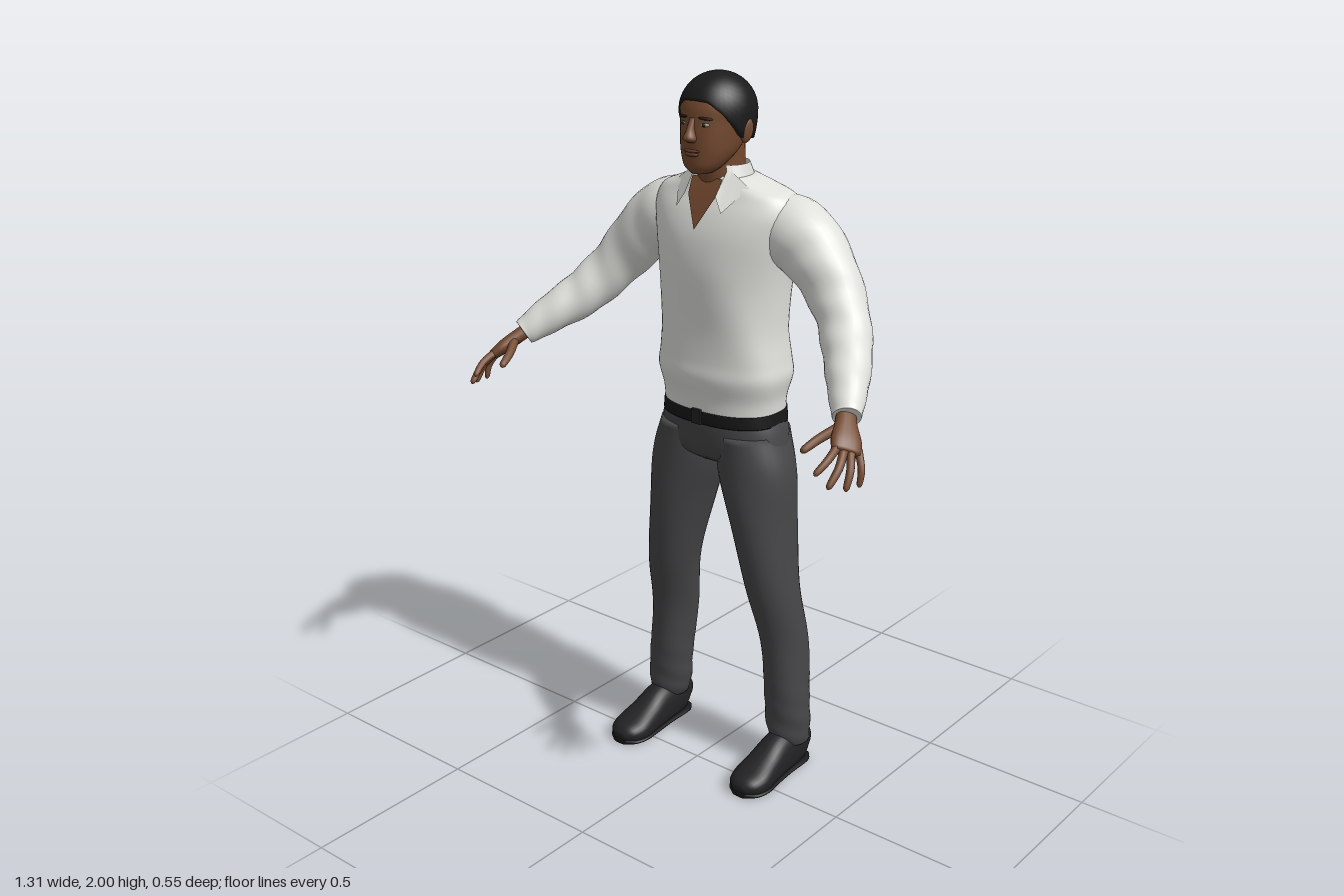
import * as THREE from 'three';

const mat = (name, color, side = THREE.FrontSide) => {
  const m = new THREE.MeshStandardMaterial({ color, side });
  m.name = name;
  return m;
};
const V = (x, y, z) => new THREE.Vector3(x, y, z);

// Smooth skin through rings [x, y, z, halfWidth, halfDepth].
// flat: rings stay horizontal; otherwise they stand square to the path.
function loft(rings, { wide = V(1, 0, 0), flat = false, power = 2, segs = 28, steps = 5, ripple = null, floor = -1 } = {}) {
  const centre = new THREE.CatmullRomCurve3(rings.map(r => V(r[0], r[1], r[2])), false, 'catmullrom');
  const radii = new THREE.CatmullRomCurve3(rings.map(r => V(r[3], r[4], 0)), false, 'catmullrom');
  const rows = (rings.length - 1) * steps;
  const pos = [], idx = [];
  const bend = c => Math.sign(c) * Math.pow(Math.abs(c), 2 / power);
  for (let i = 0; i <= rows; i++) {
    const p = centre.getPoint(i / rows), r = radii.getPoint(i / rows);
    const t = flat ? V(0, 1, 0) : centre.getTangent(i / rows);
    const u = wide.clone().addScaledVector(t, -wide.dot(t)).normalize();
    const v = t.clone().cross(u);
    for (let j = 0; j < segs; j++) {
      const a = j / segs * Math.PI * 2;
      const k = ripple ? 1 + ripple(a, p, i / rows) : 1;
      const q = p.clone().addScaledVector(u, bend(Math.cos(a)) * r.x * k).addScaledVector(v, bend(Math.sin(a)) * r.y * k);
      pos.push(q.x, Math.max(q.y, floor), q.z);
    }
  }
  for (let i = 0; i < rows; i++) for (let j = 0; j < segs; j++) {
    const a = i * segs + j, b = i * segs + (j + 1) % segs;
    idx.push(a, b, a + segs, b, b + segs, a + segs);
  }
  // end caps
  const first = rings[0], last = rings[rings.length - 1], n = pos.length / 3, top = rows * segs;
  pos.push(first[0], Math.max(first[1], floor), first[2], last[0], last[1], last[2]);
  for (let j = 0; j < segs; j++) {
    const k = (j + 1) % segs;
    idx.push(n, k, j, n + 1, top + j, top + k);
  }
  return surface(pos, idx);
}

function surface(pos, idx) {
  const g = new THREE.BufferGeometry();
  g.setAttribute('position', new THREE.Float32BufferAttribute(pos, 3));
  g.setIndex(idx);
  g.computeVertexNormals();
  return g;
}

// Hair cap: a dome whose lower edge follows the hairline
function hairCap() {
  const line = [[0, 1.935], [0.45, 1.932], [0.8, 1.905], [1.15, 1.865], [1.4, 1.835], [1.6, 1.85], [1.95, 1.83], [3.2, 1.818]];
  const hairline = a => {
    const i = Math.max(1, line.findIndex(k => k[0] >= a)), [a0, y0] = line[i - 1], [a1, y1] = line[i];
    return y0 + (y1 - y0) * (a - a0) / (a1 - a0);
  };
  const segs = 48, rows = 14, pos = [], idx = [];
  for (let i = 0; i <= rows; i++) for (let j = 0; j < segs; j++) {
    const a = j / segs * Math.PI * 2, low = hairline(Math.min(a, Math.PI * 2 - a));
    const y = low + (2 - low) * Math.sin(Math.max(0, i - 1) / (rows - 1) * Math.PI / 2);
    const h = (y - 1.9) / 0.1;
    const r = (h > 0 ? Math.sqrt(Math.max(0, 1 - h * h)) : 1 - 0.18 * h * h) * (i === 0 ? 0.82 : 1);
    pos.push(Math.sin(a) * 0.1 * r, y, -0.087 + Math.cos(a) * 0.109 * r);
  }
  for (let i = 0; i < rows; i++) for (let j = 0; j < segs; j++) {
    const a = i * segs + j, b = i * segs + (j + 1) % segs;
    idx.push(a, b, a + segs, b, b + segs, a + segs);
  }
  return surface(pos, idx);
}

export function createModel() {
  const model = new THREE.Group();
  model.name = 'standingMan';
  const skin = mat('skin', 0x74492f), lip = mat('lips', 0x633a2b), shirt = mat('shirt', 0xdfdfdb);
  const collarCloth = mat('collarCloth', 0xdadad6, THREE.DoubleSide);
  const cloth = mat('trouserCloth', 0x464648), leather = mat('shoeLeather', 0x222224);
  const black = mat('beltBlack', 0x171718), hair = mat('hair', 0x1b1a1a), eyeWhite = mat('eyeWhite', 0xa89c92);
  const add = (name, geo, material, parent = model) => {
    const m = new THREE.Mesh(geo, material);
    m.name = name;
    parent.add(m);
    return m;
  };
  const blob = (name, material, p, s, parent) => {
    const m = add(name, new THREE.SphereGeometry(1, 20, 14), material, parent);
    m.position.set(...p);
    m.scale.set(...s);
    return m;
  };

  // Shirt body with soft folds
  add('shirtBody', loft([
    [0, 1.08, -0.125, 0.179, 0.124], [0, 1.13, -0.124, 0.183, 0.126], [0, 1.19, -0.124, 0.198, 0.139],
    [0, 1.24, -0.122, 0.193, 0.134], [0, 1.32, -0.118, 0.184, 0.13], [0, 1.42, -0.124, 0.185, 0.141],
    [0, 1.5, -0.13, 0.194, 0.148], [0, 1.58, -0.133, 0.21, 0.142], [0, 1.64, -0.137, 0.222, 0.126],
    [0, 1.685, -0.135, 0.205, 0.1], [0, 1.71, -0.128, 0.15, 0.086], [0, 1.735, -0.115, 0.085, 0.07]],
  { flat: true, power: 2.4, segs: 56, ripple: (a, p) => p.y < 1.6 ? 0.011 * Math.sin(5 * a + 14 * p.y) * Math.sin((1.6 - p.y) * 6) : 0 }), shirt);

  // Open neck, collar band and collar points
  const vee = new THREE.BufferGeometry().setFromPoints([
    V(0, 1.6, 0.015), V(0.045, 1.685, -0.018), V(0.05, 1.73, -0.042),
    V(-0.05, 1.73, -0.042), V(-0.045, 1.685, -0.018)]);
  vee.setIndex([0, 1, 4, 1, 2, 4, 2, 3, 4]);
  vee.computeVertexNormals();
  add('openNeckSkin', vee, skin);
  const band = add('collarBand', new THREE.CylinderGeometry(0.074, 0.1, 0.065, 32, 1, true, 0.75, Math.PI * 2 - 1.5), collarCloth);
  band.position.set(0, 1.732, -0.107);
  band.scale.z = 0.92;
  for (const s of [1, -1]) {
    const wing = surface([
      0.053 * s, 1.757, -0.062, 0.118 * s, 1.712, -0.068, 0.074 * s, 1.65, -0.004, 0.05 * s, 1.69, -0.012],
    s > 0 ? [0, 2, 1, 0, 3, 2] : [0, 1, 2, 0, 2, 3]);
    add('collarPoint', wing, collarCloth);
  }

  // Hips, belt and buckle
  add('trouserHips', loft([
    [0, 0.93, -0.12, 0.16, 0.06], [0, 0.965, -0.122, 0.2, 0.106], [0, 1.03, -0.125, 0.196, 0.12], [0, 1.085, -0.125, 0.177, 0.12]],
  { flat: true, power: 2.3, segs: 40 }), cloth);
  add('belt', loft([[0, 1.058, -0.125, 0.186, 0.126], [0, 1.075, -0.125, 0.184, 0.127], [0, 1.094, -0.125, 0.182, 0.1265]],
    { flat: true, power: 2.4, segs: 56 }), black);
  add('buckle', new THREE.BoxGeometry(0.03, 0.042, 0.008), leather).position.set(0, 1.079, 0.004);

  for (const s of [1, -1]) {
    const side = s > 0 ? 'left' : 'right';

    // Trouser leg, bunched at the ankle
    add(side + 'TrouserLeg', loft([
      [0.229 * s, 0.085, -0.15, 0.053, 0.06], [0.224 * s, 0.13, -0.148, 0.064, 0.065], [0.219 * s, 0.22, -0.146, 0.066, 0.066],
      [0.203 * s, 0.4, -0.147, 0.068, 0.073], [0.179 * s, 0.58, -0.118, 0.073, 0.086], [0.144 * s, 0.78, -0.115, 0.092, 0.104],
      [0.118 * s, 0.92, -0.121, 0.108, 0.114], [0.1 * s, 1.03, -0.125, 0.092, 0.116]],
    { flat: true, segs: 32, steps: 7, ripple: (a, p) => 0.035 * Math.sin(p.y * 85 + 2 * a) * Math.max(0, 1 - p.y / 0.35) + 0.012 * Math.sin(3 * a + 16 * p.y) }), cloth);

    // Shoe and sole
    const last = [[0.226 * s, 0.045, -0.21, 0.03, 0.035], [0.226 * s, 0.06, -0.18, 0.047, 0.06], [0.226 * s, 0.055, -0.1, 0.049, 0.068],
      [0.226 * s, 0.04, -0.03, 0.054, 0.052], [0.227 * s, 0.028, 0.03, 0.059, 0.04], [0.227 * s, 0.025, 0.07, 0.048, 0.03], [0.227 * s, 0.02, 0.093, 0.022, 0.014]];
    add(side + 'Shoe', loft(last, { floor: 0.006, power: 2.3 }), leather);
    add(side + 'Sole', loft(last.map(r => [r[0], 0.008, r[2], r[3] * 1.05, 0.008]), { floor: 0, power: 3 }), black);

    // Sleeve
    add(side + 'Sleeve', loft([
      [0.11 * s, 1.6, -0.15, 0.08, 0.085], [0.21 * s, 1.588, -0.153, 0.096, 0.1], [0.3 * s, 1.525, -0.143, 0.084, 0.088],
      [0.385 * s, 1.425, -0.113, 0.07, 0.073], [0.45 * s, 1.343, -0.05, 0.064, 0.066], [0.508 * s, 1.285, 0.03, 0.053, 0.054],
      [0.548 * s, 1.242, 0.09, 0.039, 0.041], [0.556 * s, 1.233, 0.102, 0.036, 0.037]],
    { wide: V(0, 0, 1), steps: 7, ripple: (a, p, t) => 0.028 * Math.sin(t * 48 + 2 * a) * Math.sin(t * Math.PI) }), shirt);

    // Hand: palm, four fingers and thumb
    const hand = new THREE.Group();
    hand.name = side + 'Hand';
    model.add(hand);
    add('palm', loft([[0.545 * s, 1.245, 0.088, 0.024, 0.02], [0.566 * s, 1.222, 0.12, 0.029, 0.02],
      [0.59 * s, 1.195, 0.152, 0.04, 0.019], [0.607 * s, 1.174, 0.177, 0.038, 0.014]],
    { wide: V(-0.04 * s, 0.02, 0.05), segs: 20, power: 2.4 }), skin, hand);
    const fingers = {
      littleFinger: [[0.62, 1.175, 0.142], [0.642, 1.135, 0.16], [0.645, 1.093, 0.172], 0.0085],
      ringFinger: [[0.612, 1.178, 0.163], [0.632, 1.14, 0.193], [0.638, 1.096, 0.22], 0.0095],
      middleFinger: [[0.602, 1.18, 0.178], [0.615, 1.148, 0.218], [0.613, 1.108, 0.26], 0.01],
      indexFinger: [[0.588, 1.188, 0.188], [0.592, 1.168, 0.232], [0.583, 1.14, 0.274], 0.0095],
      thumb: [[0.558, 1.218, 0.138], [0.532, 1.195, 0.185], [0.515, 1.172, 0.235], 0.0115],
    };
    for (const [name, [a, b, c, r]] of Object.entries(fingers)) {
      const ring = (p, k) => [p[0] * s, p[1], p[2], r * k, r * k];
      const near = b.map((v, i) => v + (c[i] - v) * 0.8);
      add(name, loft([ring(a, 1.15), ring(b, 1.05), ring(near, 0.85), ring(c, 0.3)], { segs: 12, steps: 4 }), skin, hand);
    }
  }

  // Head and neck
  const head = new THREE.Group();
  head.name = 'head';
  model.add(head);
  add('neck', loft([[0, 1.66, -0.115, 0.07, 0.07], [0, 1.74, -0.1, 0.062, 0.068], [0, 1.84, -0.095, 0.064, 0.072]], { flat: true }), skin, head);
  add('face', loft([
    [0, 1.747, -0.022, 0.026, 0.034], [0, 1.765, -0.027, 0.05, 0.051], [0, 1.8, -0.05, 0.071, 0.076], [0, 1.84, -0.07, 0.081, 0.096],
    [0, 1.88, -0.082, 0.087, 0.104], [0, 1.92, -0.086, 0.09, 0.102], [0, 1.955, -0.087, 0.075, 0.082], [0, 1.985, -0.087, 0.03, 0.035]],
  { flat: true, segs: 40, power: 2.1 }), skin, head);
  add('hairCap', hairCap(), hair, head);
  add('nose', loft([[0, 1.83, 0.022, 0.013, 0.01], [0, 1.841, 0.03, 0.018, 0.02], [0, 1.862, 0.024, 0.011, 0.017], [0, 1.892, 0.015, 0.009, 0.01]],
    { flat: true, segs: 16 }), skin, head);
  blob('upperLip', lip, [0, 1.808, 0.023], [0.026, 0.005, 0.009], head);
  blob('lowerLip', lip, [0, 1.799, 0.022], [0.022, 0.006, 0.009], head);
  for (const s of [1, -1]) {
    blob('eyeWhite', eyeWhite, [0.034 * s, 1.876, 0.012], [0.013, 0.005, 0.006], head).rotation.y = 0.3 * s;
    blob('iris', hair, [0.034 * s, 1.876, 0.015], [0.005, 0.005, 0.005], head);
    const brow = blob('eyebrow', hair, [0.036 * s, 1.892, 0.011], [0.02, 0.004, 0.006], head);
    brow.rotation.set(0, 0.35 * s, -0.08 * s);
    const ear = blob('ear', skin, [0.093 * s, 1.855, -0.088], [0.009, 0.032, 0.019], head);
    ear.rotation.set(-0.15, -0.3 * s, -0.12 * s);
  }
  return model;
}
